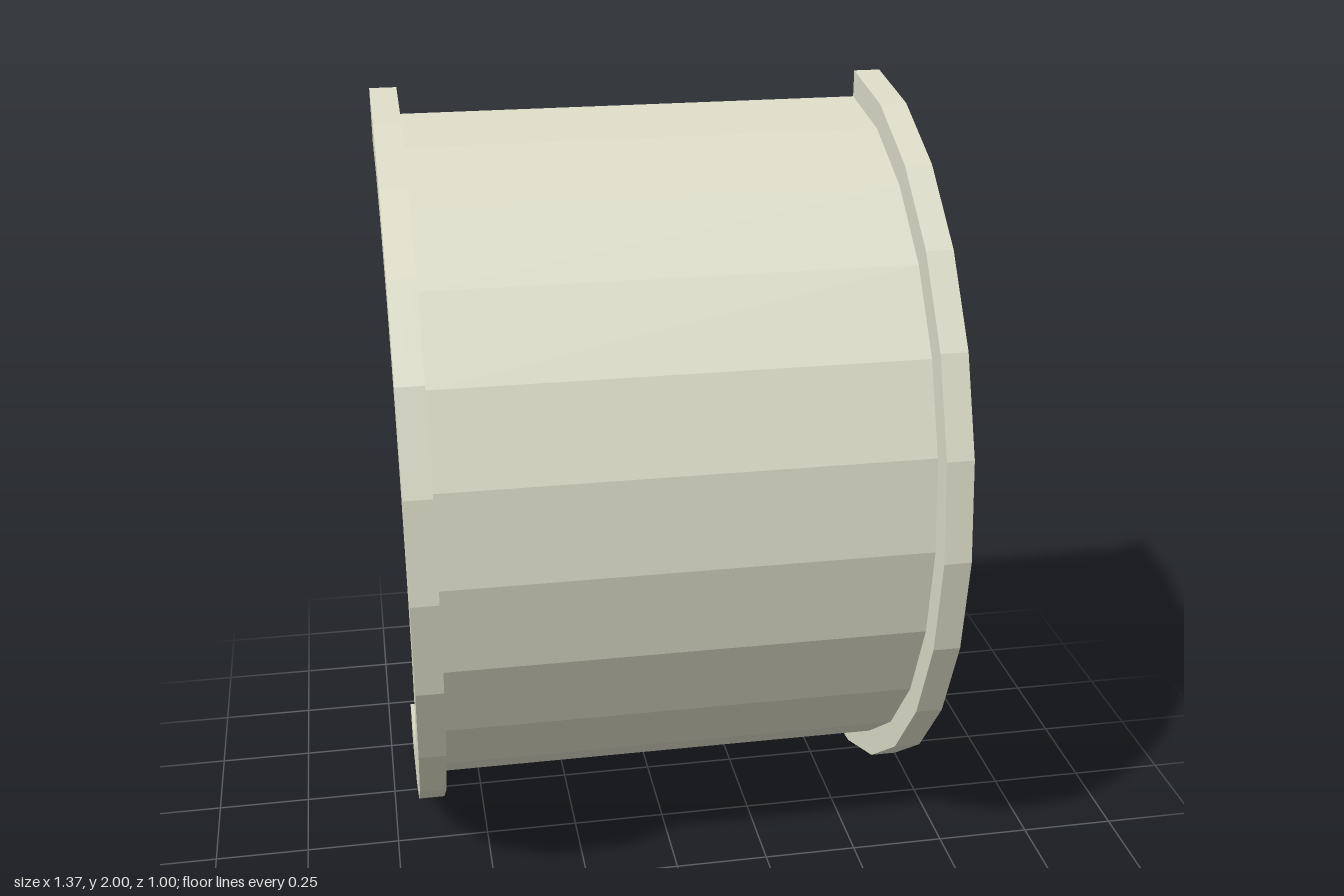
import * as THREE from 'three';

const INNER = 0.86, BODY = 0.93, FLANGE = 1;   // radii
const END = 0.685, STEP = 0.615;               // half lengths along x
const SEGMENTS = 12;

export function createModel() {
  const group = new THREE.Group();
  group.name = 'halfBushing';
  const material = new THREE.MeshStandardMaterial({ color: 0xdcdcc8, flatShading: true });

  const add = (name, geometry) => {
    const mesh = new THREE.Mesh(geometry.translate(0, 1, -0.5), material);
    mesh.name = name;
    group.add(mesh);
  };

  // Wall cross-section with a raised flange at each end: (radius, axial position)
  const section = [
    [INNER, -END], [FLANGE, -END], [FLANGE, -STEP], [BODY, -STEP],
    [BODY, STEP], [FLANGE, STEP], [FLANGE, END], [INNER, END],
  ].map(([r, a]) => new THREE.Vector2(r, a));

  // Half-turn shell, with the lathe axis laid along x and the bulge towards +z
  const shell = new THREE.LatheGeometry([...section, section[0].clone()], SEGMENTS, 0, Math.PI);
  shell.applyMatrix4(new THREE.Matrix4().set(
    0, 1, 0, 0,
    0, 0, 1, 0,
    1, 0, 0, 0,
    0, 0, 0, 1,
  ));
  add('flangedShell', shell);

  // Flat cut faces at the back, top and bottom
  const cut = new THREE.Shape(section.map((p) => new THREE.Vector2(p.y, p.x)));
  add('upperCutFace', new THREE.ShapeGeometry(cut).rotateY(Math.PI));
  add('lowerCutFace', new THREE.ShapeGeometry(cut).rotateX(Math.PI));

  return group;
}
